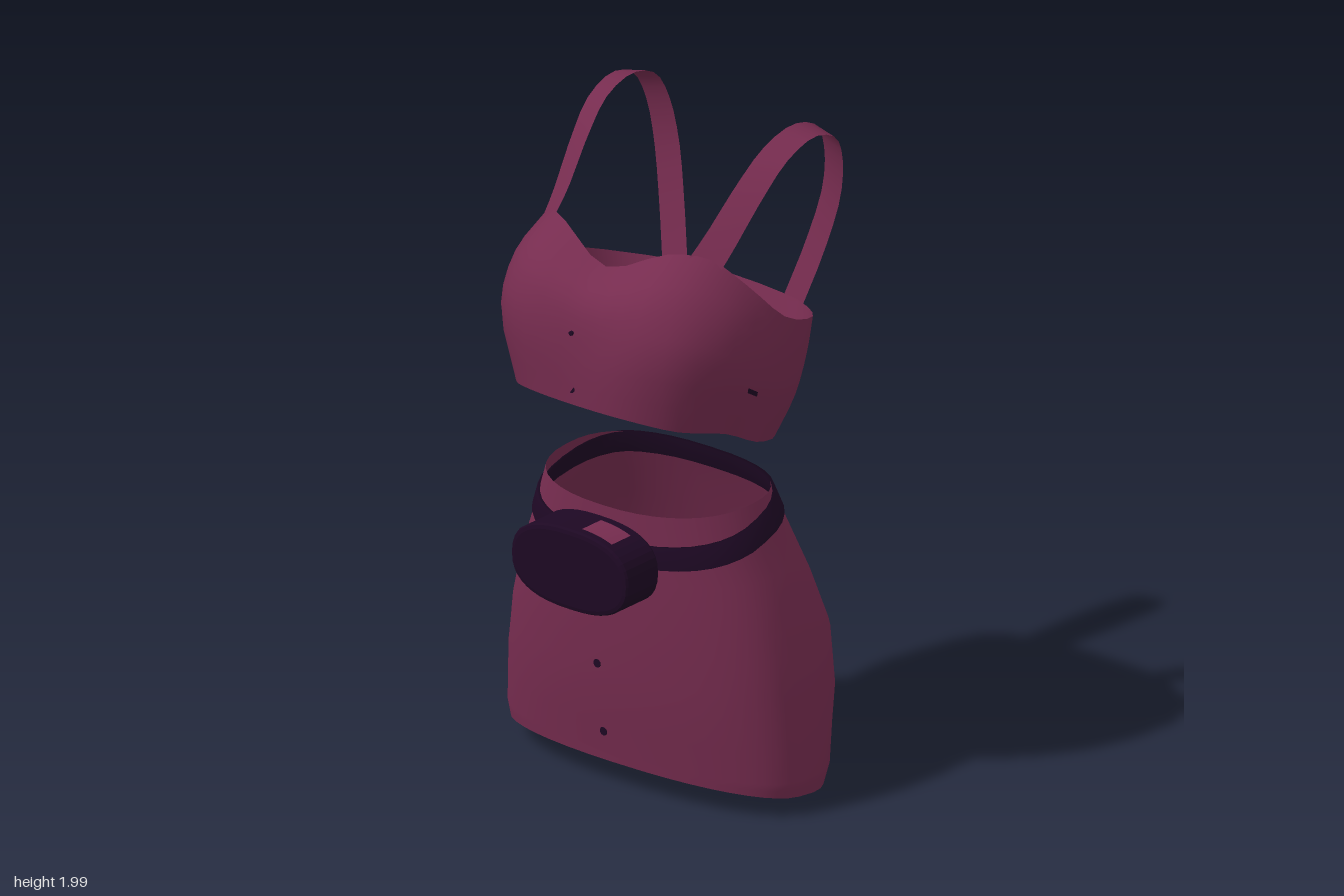
import * as THREE from 'three';

const cloth = new THREE.MeshStandardMaterial({ color: 0x762c4f, side: THREE.DoubleSide });
cloth.name = 'plum cloth';
const dark = new THREE.MeshStandardMaterial({ color: 0x1d0823, side: THREE.DoubleSide });
dark.name = 'dark leather';

const lerp = THREE.MathUtils.lerp;
const V = (x, y, z) => new THREE.Vector3(x, y, z);

function addMesh(parent, name, geometry, material) {
  const mesh = new THREE.Mesh(geometry, material);
  mesh.name = name;
  parent.add(mesh);
  return mesh;
}

// Grid surface from point(u, v), u and v in 0..1; closed in u if asked
function surface(point, nu, nv, closed) {
  const pos = [], index = [], cols = closed ? nu : nu + 1;
  for (let j = 0; j <= nv; j++)
    for (let i = 0; i < cols; i++) pos.push(...point(i / nu, j / nv).toArray());
  for (let j = 0; j < nv; j++)
    for (let i = 0; i < nu; i++) {
      const a = j * cols + i, b = j * cols + (i + 1) % cols;
      index.push(a, b, b + cols, a, b + cols, a + cols);
    }
  const g = new THREE.BufferGeometry();
  g.setAttribute('position', new THREE.Float32BufferAttribute(pos, 3));
  g.setIndex(index);
  g.computeVertexNormals();
  return g;
}

// Bodice columns from front centre round to back centre, each hem to top edge
const columns = [
  [[0, 1.24, .36], [0, 1.4, .36], [0, 1.55, .335], [0, 1.635, .24]],
  [[.18, 1.242, .355], [.2, 1.45, .368], [.2, 1.6, .32], [.19, 1.708, .19]],
  [[.3, 1.215, .28], [.33, 1.45, .31], [.32, 1.6, .25], [.295, 1.7, .13]],
  [[.35, 1.175, .13], [.405, 1.39, .18], [.408, 1.53, .14], [.378, 1.625, .07]],
  [[.358, 1.11, 0], [.413, 1.28, 0], [.43, 1.4, 0], [.43, 1.505, -.04]],
  [[.31, 1.07, -.14], [.36, 1.2, -.17], [.38, 1.33, -.2], [.385, 1.435, -.22]],
  [[.18, 1.05, -.2], [.22, 1.18, -.25], [.235, 1.3, -.29], [.24, 1.41, -.33]],
  [[0, 1.045, -.21], [0, 1.17, -.25], [0, 1.3, -.295], [0, 1.42, -.34]],
];
const ringPoints = [...columns, ...columns.slice(1, -1).reverse().map(c => c.map(([x, y, z]) => [-x, y, z]))];
const bodiceRows = [0, 1, 2, 3].map(r =>
  new THREE.CatmullRomCurve3(ringPoints.map(c => V(...c[r])), true));
function bodicePoint(u, v) {
  return new THREE.CatmullRomCurve3(bodiceRows.map(c => c.getPoint((u + 1) % 1))).getPoint(v);
}
// Thin facing that follows the bodice, just outside (scale > 1) or inside it
function bodiceFacing(u0, u1, v0, v1, scale, nu) {
  return surface((u, v) =>
    bodicePoint(lerp(u0, u1, u), lerp(v0, v1, v)).multiply(V(scale, 1, scale)), nu, 5, false);
}

// Skirt rings: front y, back y, half width, front depth, back depth
const rings = [
  [.085, .004, .515, .2, .31],
  [.12, .08, .525, .205, .342],
  [.3, .3, .512, .235, .402],
  [.47, .47, .487, .25, .408],
  [.63, .63, .445, .258, .348],
  [.78, .78, .388, .262, .287],
  [.905, .925, .345, .262, .22],
];
const spow = (a, p) => Math.sign(a) * Math.abs(a) ** p;
function skirtPoint(u, row, grow = 0) {
  const i = Math.min(Math.floor(row), rings.length - 2);
  const [yF, yB, w, f, b] = rings[i].map((n, k) => lerp(n, rings[i + 1][k], row - i));
  const cos = Math.cos(u * 2 * Math.PI), p = cos > 0 ? .88 : .8;
  const s = spow(Math.sin(u * 2 * Math.PI), p), c = spow(cos, p);
  const z = c * (c > 0 ? f : b);
  return V(s * (w + grow), lerp(yF, yB, (f - z) / (f + b)), z + c * grow);
}

// Dark panel closing the hem, with two narrow slits
function hemPanel() {
  const outline = [];
  for (let i = 0; i < 40; i++) {
    const p = skirtPoint(i / 40, 0);
    outline.push(new THREE.Vector2(p.x, p.z));
  }
  const shape = new THREE.Shape(outline);
  for (const s of [-1, 1])
    shape.holes.push(new THREE.Path([[.048, -.2], [.042, .13], [.036, 0]]
      .map(([x, z]) => new THREE.Vector2(s * x, z))));
  const g = new THREE.ShapeGeometry(shape), p = g.attributes.position;
  for (let i = 0; i < p.count; i++) {
    const z = p.getY(i);
    p.setXYZ(i, p.getX(i), lerp(.085, .004, (.2 - z) / .51), z);
  }
  g.computeVertexNormals();
  return g;
}

// Ribbon strap over one shoulder, tilted outwards at the front
function strap(side) {
  const path = new THREE.CatmullRomCurve3([
    V(.285, 1.665, .17), V(.295, 1.74, .09), V(.315, 1.865, -.02), V(.33, 1.955, -.12), V(.335, 1.99, -.24),
    V(.335, 1.955, -.34), V(.325, 1.87, -.385), V(.305, 1.74, -.4), V(.265, 1.57, -.375), V(.215, 1.39, -.33),
  ]);
  return surface((u, v) => {
    const p = path.getPoint(v), k = u - .5;
    const front = Math.max(0, 1 - v * 2.2), back = Math.min(1, Math.max(0, v * 3 - 1.4));
    return V(side * (p.x + k * .078), p.y - k * (.018 + .03 * front), p.z + k * (.018 * back - .035 * front));
  }, 2, 24, false);
}

// Rounded oval belt pouch
function pouchGeometry() {
  const outline = [];
  for (let i = 0; i < 40; i++) {
    const a = i / 40 * 2 * Math.PI;
    outline.push(new THREE.Vector2(.2 * spow(Math.cos(a), .8), .11 * spow(Math.sin(a), .8)));
  }
  return new THREE.ExtrudeGeometry(new THREE.Shape(outline), {
    depth: .13, bevelEnabled: true, bevelThickness: .01, bevelSize: .015, bevelSegments: 2,
  });
}

// Belt band as a thin loop: outer face, top edge, inner face
function beltPoint(u, v) {
  const t = Math.min(1, (1 - spow(Math.cos(u * 2 * Math.PI), .82)) * .58);
  const low = lerp(4.75, 5.5, t), high = lerp(5.25, 6, t);
  return skirtPoint(u, v === 0 || v === 1 ? low : high, v > .5 ? -.007 : .008);
}

export function createModel() {
  const model = new THREE.Group();
  model.name = 'outfit';

  const top = new THREE.Group();
  top.name = 'croppedTop';
  addMesh(top, 'bodice', surface(bodicePoint, 42, 9, true), cloth);
  addMesh(top, 'leftStrap', strap(1), cloth);
  addMesh(top, 'rightStrap', strap(-1), cloth);
  // Dark facing inside the front hem, side patch and small side clasp
  addMesh(top, 'hemFacing', bodiceFacing(-.28, .18, .005, .1, .985, 24), dark);
  addMesh(top, 'sidePatch', bodiceFacing(.695, .745, .03, .48, 1.012, 5), dark);
  addMesh(top, 'sideClasp', bodiceFacing(.244, .26, .27, .3, 1.008, 3), dark);
  model.add(top);

  const skirt = new THREE.Group();
  skirt.name = 'skirt';
  addMesh(skirt, 'skirtShell', surface((u, v) => skirtPoint(u, v * 6), 40, 12, true), cloth);
  addMesh(skirt, 'hemPanel', hemPanel(), dark);
  model.add(skirt);

  // Belt slopes up from the pouch to the back of the waist
  const belt = new THREE.Group();
  belt.name = 'belt';
  addMesh(belt, 'beltBand', surface(beltPoint, 40, 3, true), dark);
  addMesh(belt, 'pouch', pouchGeometry(), dark).position.set(0, .75, .27);
  // Cloth flap lying on the pouch
  addMesh(belt, 'pouchFlap', surface((u, v) => {
    const x = lerp(.03, .14, u);
    return V(x, .753 + .125 * (1 - (x / .215) ** 2.5) ** .4, lerp(.385, .3, v));
  }, 6, 1, false), cloth);
  const tab = addMesh(belt, 'beltTab', new THREE.BoxGeometry(.08, .035, .025), dark);
  tab.position.set(-.23, .765, .285);
  tab.rotation.set(0, .5, .3);
  model.add(belt);

  // Small, nearly flush front buttons
  for (const [y, z] of [[1.46, .36], [1.288, .358], [.62, .255], [.4, .242], [.18, .213]]) {
    const r = y > 1.4 ? .007 : .013;
    const button = addMesh(model, 'button', new THREE.CylinderGeometry(r, r, .008, 10), dark);
    button.rotation.x = Math.PI / 2;
    button.position.set(-.03, y, z);
  }
  return model;
}
